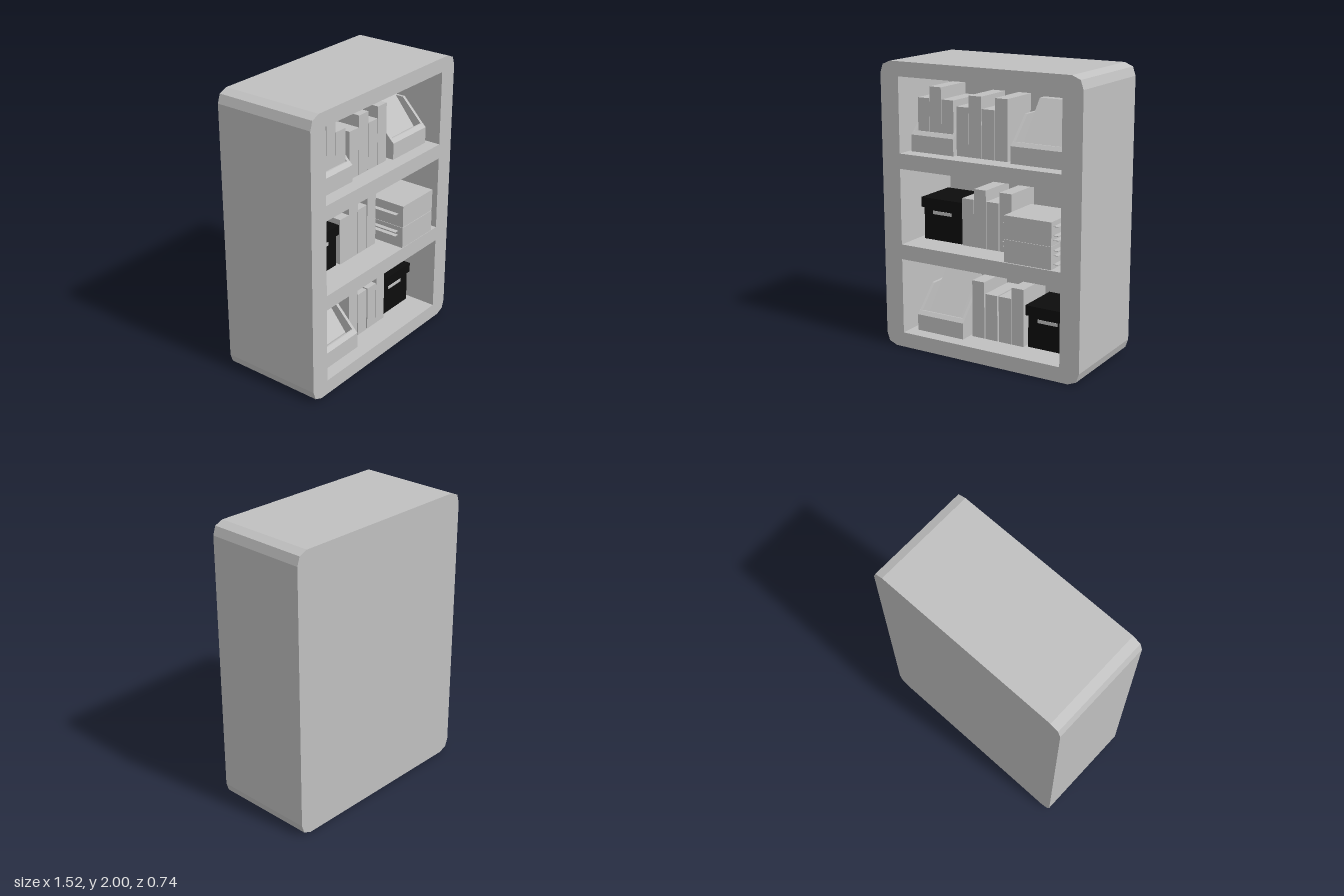
import * as THREE from 'three';

export function createModel() {
  const grey = new THREE.MeshStandardMaterial({ color: 0xc0c0c0 });
  grey.name = 'lightGrey';
  const black = new THREE.MeshStandardMaterial({ color: 0x0d0d0d });
  black.name = 'black';
  const model = new THREE.Group();
  model.name = 'bookcase';

  const add = (parent, name, geo, mat = grey) => {
    const m = new THREE.Mesh(geo, mat);
    m.name = name;
    parent.add(m);
    return m;
  };
  const group = (name) => {
    const g = new THREE.Group();
    g.name = name;
    model.add(g);
    return g;
  };
  // Box given by its limits on each axis
  const box = (parent, name, x0, x1, y0, y1, z0, z1, mat) =>
    add(parent, name, new THREE.BoxGeometry(x1 - x0, y1 - y0, z1 - z0)
      .translate((x0 + x1) / 2, (y0 + y1) / 2, (z0 + z1) / 2), mat);
  // Side profile of [z, y] points, carried across from x0 to x1
  const prism = (parent, name, pts, x0, x1, mat) => {
    const shape = new THREE.Shape(pts.map((p) => new THREE.Vector2(p[0], p[1])));
    const geo = new THREE.ExtrudeGeometry(shape, { depth: x1 - x0, bevelEnabled: false });
    return add(parent, name, geo.rotateY(-Math.PI / 2).translate(x1, 0, 0), mat);
  };

  // Case: back slab, hollow middle and thin front frame share one outline
  const shelves = [[0.105, 0.64], [0.745, 1.275], [1.38, 1.9]];
  const IN = 0.617;
  const slab = (name, z0, z1, holes, openBase) => {
    const right = [[0.68, 0], [0.74, 0.025], [0.76, 0.085], [0.76, 1.915], [0.74, 1.975], [0.68, 2]];
    const left = right.map(([x, y]) => [-x, y]).reverse();
    const base = openBase ? [[-IN, 0], [-IN, 0.095], [IN, 0.095], [IN, 0]] : [];
    const shape = new THREE.Shape([...right, ...left, ...base].map((p) => new THREE.Vector2(...p)));
    if (holes) for (const [y0, y1] of shelves) {
      shape.holes.push(new THREE.Path([[-IN, y0], [-IN, y1], [IN, y1], [IN, y0]]
        .map((p) => new THREE.Vector2(...p))));
    }
    const geo = new THREE.ExtrudeGeometry(shape, { depth: z1 - z0, bevelEnabled: false });
    add(model, name, geo.translate(0, 0, z0));
  };
  slab('backPanel', -0.37, -0.24, false, false);
  slab('shelfBody', -0.24, 0.345, true, true);
  slab('frontFrame', 0.345, 0.367, true, false);

  // Upright books: [left, right, top]
  const books = (name, y0, zFront, list) => {
    const g = group(name);
    for (const [x0, x1, top] of list) box(g, 'book', x0, x1, y0, top, zFront - 0.3, zFront);
  };
  books('topBooks', 1.385, 0.25,
    [[-0.235, -0.14, 1.715], [-0.138, -0.042, 1.795], [-0.038, 0.058, 1.715], [0.062, 0.156, 1.795]]);
  books('middleBooks', 0.75, 0.18,
    [[-0.243, -0.15, 1.08], [-0.148, -0.054, 1.155], [-0.05, 0.045, 1.08], [0.052, 0.146, 1.155]]);
  books('bottomBooks', 0.11, 0.19,
    [[-0.16, -0.064, 0.515], [-0.055, 0.04, 0.435], [0.052, 0.148, 0.435], [0.153, 0.246, 0.515]]);
  books('binBooks', 1.41, 0.24,
    [[-0.55, -0.457, 1.75], [-0.455, -0.363, 1.83], [-0.36, -0.266, 1.75]]);

  // Open bins with sloping sides and a low bevelled lip
  const bin = (name, x0, x1, y0, papers) => {
    const g = group(name);
    const zf = 0.28, zb = -0.12, t = 0.022;
    const side = [[zb, y0], [zf - 0.002, y0], [zf - 0.002, y0 + 0.115], [0.1, y0 + 0.3], [zb, y0 + 0.3]];
    prism(g, 'binSide', side, x0, x0 + t);
    prism(g, 'binSide', side, x1 - t, x1);
    prism(g, 'binLip', [[zf - 0.035, y0], [zf, y0], [zf, y0 + 0.115], [zf - 0.025, y0 + 0.14],
      [zf - 0.035, y0 + 0.14]], x0, x1);
    box(g, 'binBack', x0 + t, x1 - t, y0, y0 + 0.3, zb, zb + t);
    box(g, 'binFloor', x0 + t, x1 - t, y0, y0 + 0.015, zb + t, zf - 0.035);
    if (!papers) return;
    // Sheets leaning back, the rear ones wider and lower
    prism(g, 'frontPaper', [[-0.06, y0 + 0.016], [0.22, y0 + 0.05], [0.22, y0 + 0.125],
      [0.0, y0 + 0.395], [-0.06, y0 + 0.395]], x0 + 0.055, x0 + 0.318);
    prism(g, 'rearPaper', [[-0.08, y0 + 0.016], [0.12, y0 + 0.05], [0.12, y0 + 0.16],
      [0.0, y0 + 0.32], [-0.08, y0 + 0.32]], x0 + 0.026, x0 + 0.342);
  };
  bin('topLeftBin', -0.58, -0.243, 1.385, false);
  bin('topRightBin', 0.198, 0.572, 1.385, true);
  bin('bottomLeftBin', -0.555, -0.18, 0.11, true);

  // Black storage boxes with an overhanging lid and a handle slot
  const storageBox = (name, cx, y0) => {
    const g = group(name);
    box(g, 'boxBase', cx - 0.152, cx + 0.152, y0, y0 + 0.23, -0.14, 0.16, black);
    box(g, 'boxLid', cx - 0.166, cx + 0.166, y0 + 0.228, y0 + 0.298, -0.155, 0.175, black);
    box(g, 'handleSlot', cx - 0.08, cx + 0.07, y0 + 0.184, y0 + 0.208, 0.158, 0.163);
  };
  storageBox('middleStorageBox', -0.415, 0.747);
  storageBox('bottomStorageBox', 0.418, 0.107);

  // Two piles of paper with some loose sheets sticking out
  const stack = group('paperStack');
  box(stack, 'lowerPile', 0.202, 0.55, 0.75, 0.903, 0.02, 0.369);
  box(stack, 'upperPile', 0.202, 0.55, 0.909, 1.064, 0.02, 0.369);
  box(stack, 'pileGap', 0.206, 0.546, 0.9, 0.912, 0.024, 0.364);
  for (const y of [0.78, 0.84, 0.872, 0.94, 0.97, 1.03]) {
    box(stack, 'looseSheet', 0.22, 0.585, y - 0.002, y + 0.002, 0.03, 0.34);
  }
  for (const y of [0.84, 0.87, 1.0]) {
    box(stack, 'looseSheet', 0.168, 0.5, y - 0.002, y + 0.002, 0.03, 0.33);
  }
  return model;
}
